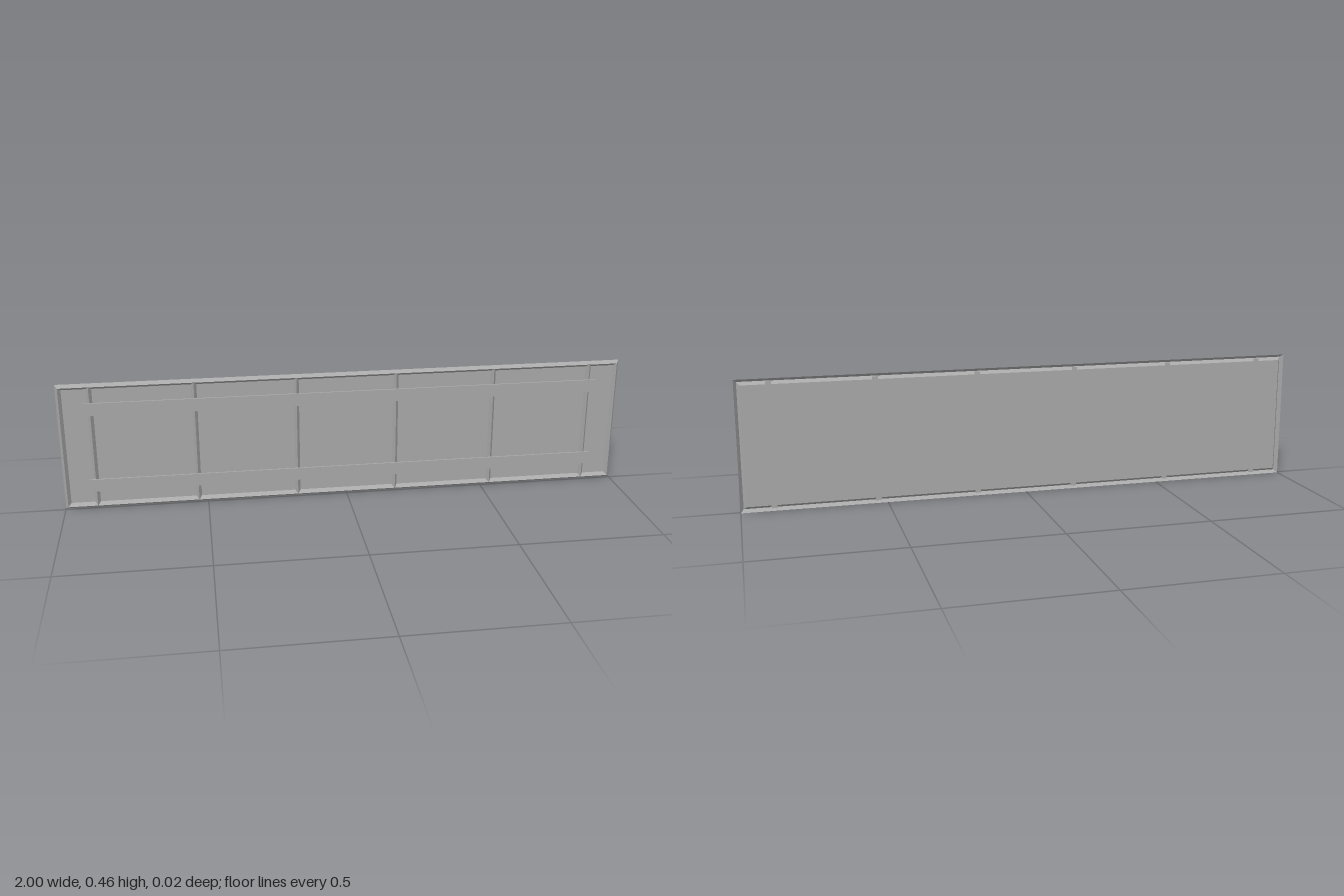
import * as THREE from 'three';

const H = 0.459;            // panel height
const BACK = -0.0095;       // plane of the sheet
const RIDGE = 0.0045;       // crest of the folded frame and ribs
const FOLD = 0.01;          // half width of a fold

// Corners of a rectangle inset from the outer edge
function ring(inset, z) {
  const x = 1 - inset, y0 = inset, y1 = H - inset;
  return [[-x, y0, z], [x, y0, z], [x, y1, z], [-x, y1, z]];
}

// Folded border sheet with mitred corners, open at the back
function foldedFrame() {
  const rings = [ring(0, BACK), ring(FOLD, RIDGE), ring(2 * FOLD, BACK)];
  const pos = [];
  for (let r = 0; r < 2; r++) {
    for (let i = 0; i < 4; i++) {
      const j = (i + 1) % 4;
      const a = rings[r][i], b = rings[r][j], c = rings[r + 1][j], d = rings[r + 1][i];
      pos.push(...a, ...b, ...c, ...a, ...c, ...d);
    }
  }
  const g = new THREE.BufferGeometry();
  g.setAttribute('position', new THREE.Float32BufferAttribute(pos, 3));
  g.computeVertexNormals();
  return g;
}

// Upright triangular rib, crest towards the front
function ribGeometry() {
  const s = new THREE.Shape();
  const back = -0.0102;
  s.moveTo(-FOLD, -back);
  s.lineTo(FOLD, -back);
  s.lineTo(0, -RIDGE);
  s.closePath();
  const g = new THREE.ExtrudeGeometry(s, { depth: H - 2 * FOLD, bevelEnabled: false });
  g.rotateX(-Math.PI / 2);
  g.translate(0, FOLD, 0);
  return g;
}

export function createModel() {
  const model = new THREE.Group();
  model.name = 'ribbedPanel';
  const grey = new THREE.MeshStandardMaterial({ color: 0xa8a8a8, side: THREE.DoubleSide });
  grey.name = 'grey';

  const add = (name, geometry, x = 0, y = 0, z = 0) => {
    const m = new THREE.Mesh(geometry, grey);
    m.name = name;
    m.position.set(x, y, z);
    model.add(m);
  };

  // Flat sheet inside the folded border
  add('sheet', new THREE.PlaneGeometry(2 - 4 * FOLD, H - 4 * FOLD), 0, H / 2, BACK);
  add('frame', foldedFrame());

  // Six evenly spaced ribs
  const rib = ribGeometry();
  for (let i = 0; i < 6; i++) add('rib' + (i + 1), rib, (i - 2.5) * 0.355);

  // Two horizontal rails across the front
  const rail = new THREE.BoxGeometry(1.82, 0.045, 0.006);
  add('lowerRail', rail, 0, 0.089, 0.0072);
  add('upperRail', rail, 0, H - 0.089, 0.0072);

  return model;
}
